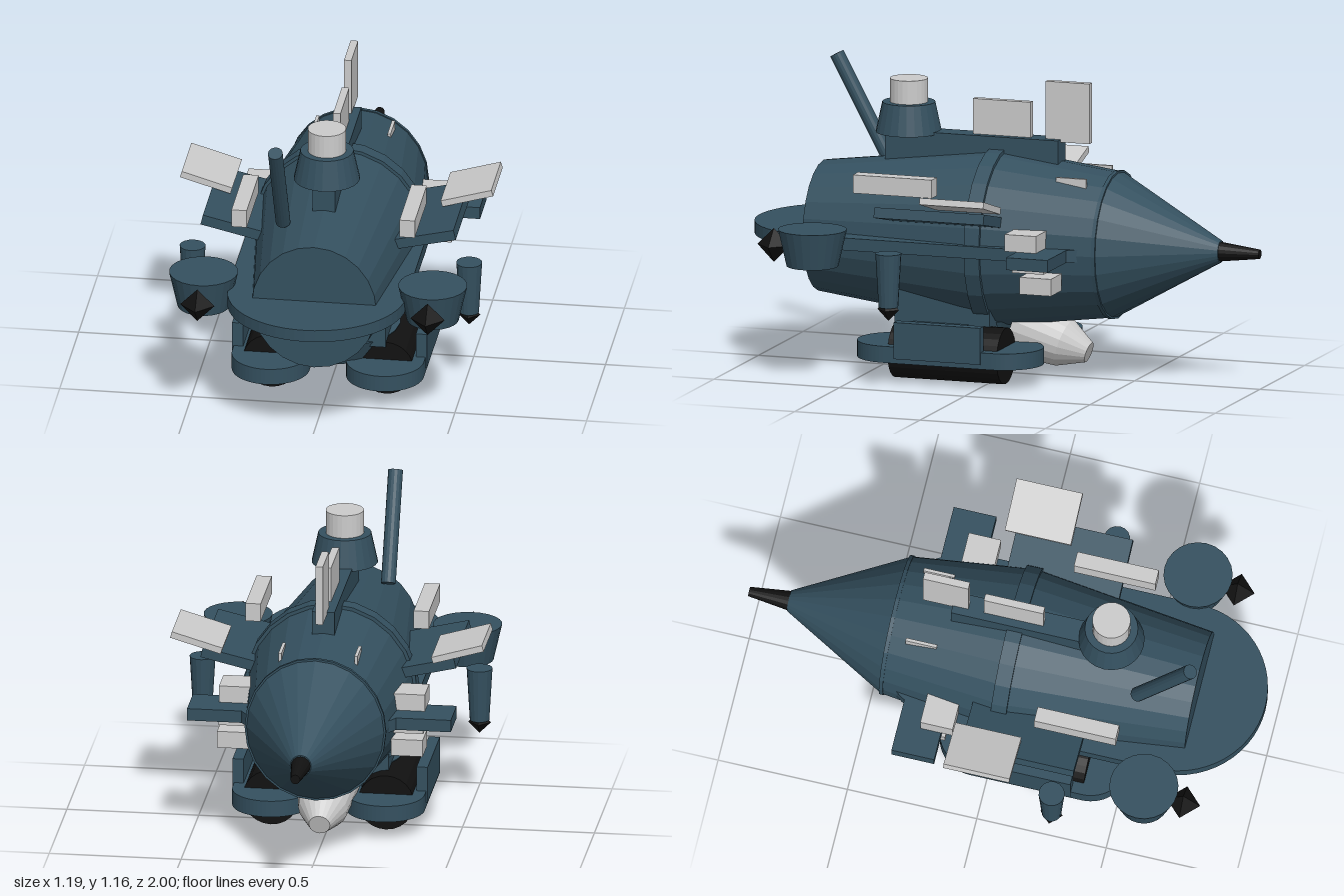
import * as THREE from 'three';

const mat = (color) => new THREE.MeshStandardMaterial({ color, flatShading: true });
const blue = mat(0x34505f);
const black = mat(0x111111);
const grey = mat(0xcccccc);

export function createModel() {
  const model = new THREE.Group();

  const add = (name, geometry, material, x = 0, y = 0, z = 0) => {
    const mesh = new THREE.Mesh(geometry, material);
    mesh.name = name;
    mesh.position.set(x, y, z);
    model.add(mesh);
    return mesh;
  };
  // Box given by its min/max on each axis
  const box = (name, material, [x0, x1], [y0, y1], [z0, z1]) =>
    add(name, new THREE.BoxGeometry(x1 - x0, y1 - y0, z1 - z0), material,
      (x0 + x1) / 2, (y0 + y1) / 2, (z0 + z1) / 2);
  // Upright frustum between two heights
  const post = (name, material, rTop, rBottom, y0, y1, x, z, sides = 24) =>
    add(name, new THREE.CylinderGeometry(rTop, rBottom, y1 - y0, sides), material, x, (y0 + y1) / 2, z);
  // Frustum lying along z, from front to back
  const barrel = (name, material, rFront, rBack, zFront, zBack, x, y, sides = 24) =>
    add(name, new THREE.CylinderGeometry(rFront, rBack, zFront - zBack, sides).rotateX(Math.PI / 2),
      material, x, y, (zFront + zBack) / 2);
  // Flat plate with round ends, long in z
  const stadium = (name, r, zFront, zBack, y0, y1, x) => {
    const shape = new THREE.Shape();
    shape.absarc(0, zFront - r, r, 0, Math.PI);
    shape.absarc(0, zBack + r, r, Math.PI, Math.PI * 2);
    shape.closePath();
    const g = new THREE.ExtrudeGeometry(shape, { depth: y1 - y0, bevelEnabled: false, curveSegments: 14 });
    return add(name, g.rotateX(Math.PI / 2), blue, x, y1, 0);
  };

  // Hull: two frustums, joining ring, tail cone and tip
  const axis = 0.52;
  const hull = [
    barrel('frontHull', blue, 0.249, 0.338, 0.74, 0.04, 0, axis),
    barrel('rearHull', blue, 0.338, 0.277, 0.04, -0.43, 0, axis),
    barrel('hullRing', blue, 0.347, 0.347, 0.065, 0.005, 0, axis),
    barrel('tailRing', blue, 0.282, 0.282, -0.42, -0.435, 0, axis),
    barrel('tailCone', blue, 0.277, 0.042, -0.43, -0.845, 0, axis),
  ];
  hull.forEach((part) => { part.scale.x = 0.95; });
  barrel('tailTip', black, 0.037, 0.018, -0.845, -1.0, 0, axis, 16);
  stadium('bowDeck', 0.338, 0.995, -0.5, 0.497, 0.544, 0);

  // Dorsal spine, turret and fins
  box('spine', blue, [-0.043, 0.043], [0.78, 0.91], [-0.21, 0.48]);
  post('turret', blue, 0.1, 0.125, 0.9, 1.015, 0, 0.4);
  post('turretCap', grey, 0.072, 0.072, 1.015, 1.105, 0, 0.4);
  box('frontFin', grey, [-0.014, 0.014], [0.9, 1.045], [-0.09, 0.14]);
  box('rearFin', grey, [-0.014, 0.014], [0.9, 1.13], [-0.325, -0.15]);

  // Leaning snorkel
  const foot = new THREE.Vector3(-0.147, 0.77, 0.535);
  const head = new THREE.Vector3(-0.147, 1.15, 0.74);
  const snorkel = add('snorkel', new THREE.CylinderGeometry(0.028, 0.028, foot.distanceTo(head), 16), blue);
  snorkel.position.lerpVectors(foot, head, 0.5);
  snorkel.rotation.x = Math.atan2(head.z - foot.z, head.y - foot.y);

  // Belly: mounting block, pedestal and tilted jet
  box('bellyBlock', blue, [-0.22, 0.22], [0.2, 0.34], [0.0, 0.38]);
  post('pedestal', blue, 0.25, 0.21, 0.13, 0.22, 0, 0.2);
  const profile = [[0, 0], [0.04, 0], [0.093, 0.1], [0.12, 0.29], [0, 0.29]]
    .map(([r, h]) => new THREE.Vector2(r, h));
  const jet = add('jet', new THREE.LatheGeometry(profile, 20), grey, 0, 0.1, -0.318);
  jet.rotation.x = Math.atan2(0.95, 0.31);

  for (const s of [1, -1]) {
    const span = (a, b) => (s > 0 ? [a, b] : [-b, -a]);

    // Grey side boxes and roof slits
    box('shoulderBox', grey, span(0.29, 0.348), [0.72, 0.79], [0.185, 0.5]);
    box('upperTailBox', grey, span(0.27, 0.39), [0.545, 0.61], [-0.245, -0.12]);
    box('middleTailBox', grey, span(0.27, 0.388), [0.465, 0.5], [-0.275, -0.15]);
    box('lowerTailBox', grey, span(0.27, 0.39), [0.385, 0.45], [-0.305, -0.18]);
    box('roofSlit', grey, span(0.138, 0.15), [0.74, 0.792], [-0.36, -0.24]);
    box('stabilizer', blue, span(0.26, 0.5), [0.497, 0.544], [-0.33, -0.165]);

    // Raised wings
    const lowerWing = add('lowerWing', new THREE.BoxGeometry(0.23, 0.04, 0.437), blue, s * 0.368, 0.652, 0.15);
    lowerWing.rotation.z = s * 0.23;
    const upperWing = add('upperWing', new THREE.BoxGeometry(0.2, 0.025, 0.255), grey, s * 0.495, 0.728, 0.02);
    upperWing.rotation.z = s * 0.285;

    // Bow pods and side thrusters with diamond tips
    post('bowPod', blue, 0.13, 0.098, 0.45, 0.59, s * 0.435, 0.63);
    add('bowDiamond', new THREE.OctahedronGeometry(0.065), black, s * 0.437, 0.52, 0.783);
    post('sideThruster', blue, 0.049, 0.037, 0.33, 0.535, s * 0.525, 0.295, 16);
    add('thrusterDiamond', new THREE.OctahedronGeometry(0.043), black, s * 0.525, 0.32, 0.295);

    // Tracks
    barrel('trackRoller', black, 0.107, 0.107, 0.37, -0.065, s * 0.218, 0.11);
    stadium('trackPlate', 0.147, 0.52, -0.207, 0.082, 0.145, s * 0.217);
    box('trackGuard', blue, span(0.328, 0.37), [0.1, 0.24], [-0.015, 0.33]);
  }

  return model;
}
